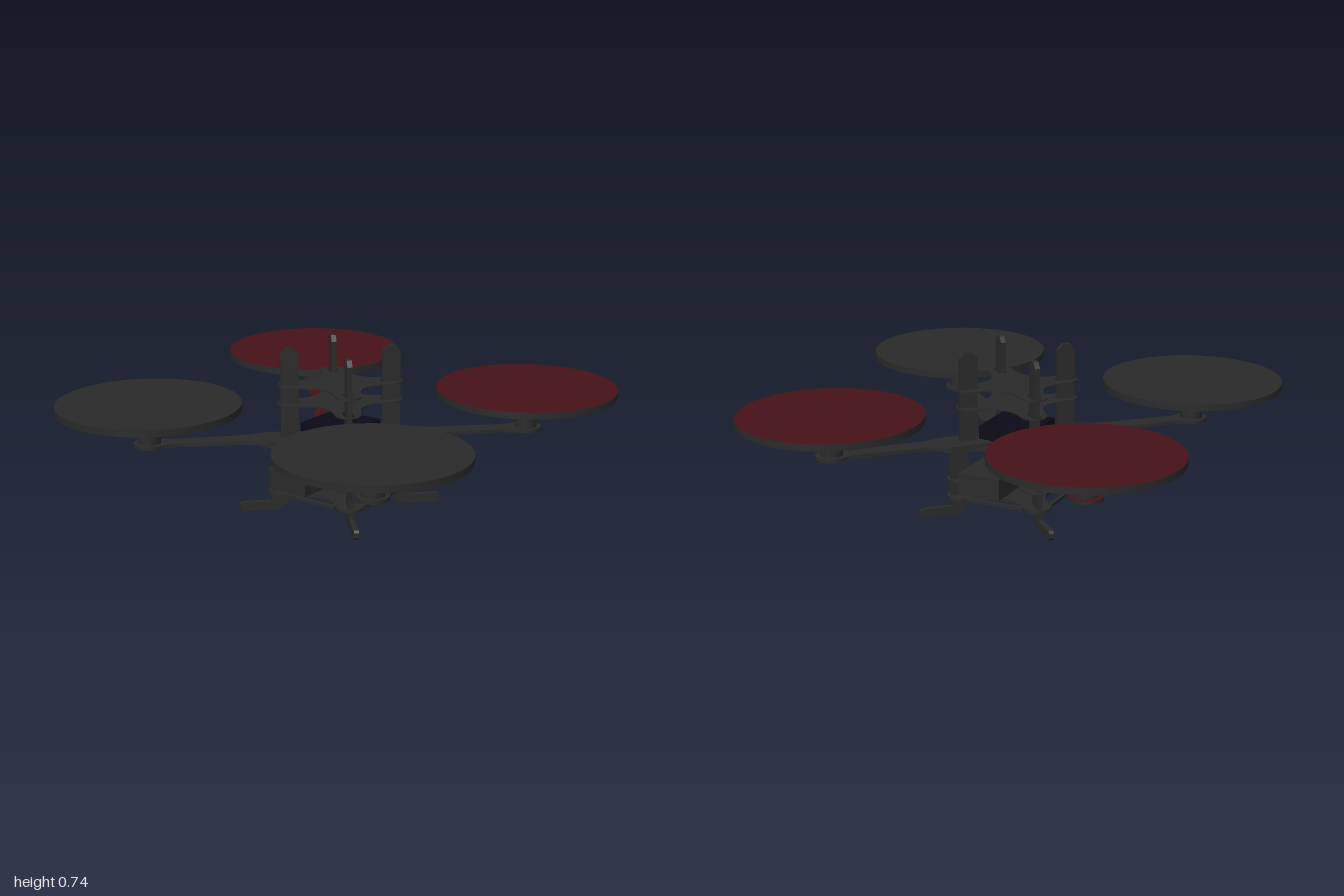
import * as THREE from 'three';

const dark = new THREE.MeshStandardMaterial({ color: 0x2a2a2a });
const red = new THREE.MeshStandardMaterial({ color: 0x47121a });
const black = new THREE.MeshStandardMaterial({ color: 0x0c0a16 });

function addMesh(parent, name, geometry, material, x = 0, y = 0, z = 0) {
  const mesh = new THREE.Mesh(geometry, material);
  mesh.name = name;
  mesh.position.set(x, y, z);
  parent.add(mesh);
  return mesh;
}

// Flat sheet lying in the xz plane, extruded upwards
function sheet(shape, thickness) {
  const g = new THREE.ExtrudeGeometry(shape, { depth: thickness, bevelEnabled: false, curveSegments: 10 });
  return g.rotateX(-Math.PI / 2);
}

// Four-lobed plate: lobes of radius w at distance c on the diagonals, concave sides between
function crossPlate(c, w, pull, slotted, thickness) {
  const s = new THREE.Shape();
  for (let k = 0; k < 4; k++) {
    const a = Math.PI / 4 + k * Math.PI / 2, b = a + Math.PI / 2;
    const ux = Math.cos(a), uy = Math.sin(a), vx = Math.cos(b), vy = Math.sin(b);
    s.absarc(c * ux, c * uy, w, a - Math.PI / 2, a + Math.PI / 2, false);
    const ex = c * ux + w * vx, ey = c * uy + w * vy;
    const nx = c * vx + w * ux, ny = c * vy + w * uy;
    s.bezierCurveTo(ex - pull * ux, ey - pull * uy, nx - pull * vx, ny - pull * vy, nx, ny);
    if (slotted) {
      const hole = new THREE.Path();
      hole.absarc(0.25 * ux, 0.25 * uy, 0.022, a - Math.PI / 2, a + Math.PI / 2, false);
      hole.absarc(0.2 * ux, 0.2 * uy, 0.022, a + Math.PI / 2, a + Math.PI * 1.5, false);
      hole.closePath();
      s.holes.push(hole);
    }
  }
  return sheet(s, thickness);
}

// Arm outline along +x, wide root, narrow neck and round motor mount
function armGeometry() {
  const s = new THREE.Shape();
  s.moveTo(0.14, -0.07);
  s.lineTo(0.3, -0.075);
  s.bezierCurveTo(0.37, -0.075, 0.38, -0.045, 0.46, -0.045);
  s.lineTo(0.72, -0.038);
  s.quadraticCurveTo(0.77, -0.04, 0.8, -0.057);
  s.absarc(0.841, 0, 0.07, -2.19, 2.19, false);
  s.quadraticCurveTo(0.77, 0.04, 0.72, 0.038);
  s.lineTo(0.46, 0.045);
  s.bezierCurveTo(0.38, 0.045, 0.37, 0.075, 0.3, 0.075);
  s.lineTo(0.14, 0.07);
  s.closePath();
  return sheet(s, 0.016);
}

// Upright plate: chamfered mast on top, leg below, foot pointing outwards
function legGeometry() {
  const pts = [[0.27, 0], [0.44, 0], [0.45, 0.01], [0.45, 0.032], [0.44, 0.042], [0.309, 0.042],
    [0.309, 0.31], [0.266, 0.31], [0.266, 0.71], [0.243, 0.735], [0.209, 0.735], [0.186, 0.71],
    [0.186, 0.31], [0.229, 0.31], [0.229, 0.045]];
  const s = new THREE.Shape(pts.map(([x, y]) => new THREE.Vector2(x, y)));
  const g = new THREE.ExtrudeGeometry(s, { depth: 0.022, bevelEnabled: false });
  return g.translate(0, 0, -0.011);
}

export function createModel() {
  const model = new THREE.Group();
  model.name = 'quadcopter';

  // Stacked body plates
  addMesh(model, 'topPlate', crossPlate(0.22, 0.058, 0.11, true, 0.006), dark, 0, 0.567);
  addMesh(model, 'upperPlate', crossPlate(0.22, 0.058, 0.11, true, 0.006), dark, 0, 0.485);
  addMesh(model, 'middlePlate', crossPlate(0.302, 0.06, 0.16, false, 0.016), dark, 0, 0.304);
  addMesh(model, 'batteryPlate', crossPlate(0.262, 0.06, 0.14, false, 0.006), dark, 0, 0.162);
  addMesh(model, 'bottomPlate', crossPlate(0.262, 0.06, 0.14, false, 0.015), dark, 0, 0.075);

  // Slim rails joining the lobes of the bottom plate
  for (let k = 0; k < 4; k++) {
    const rail = addMesh(model, 'bottomRail', new THREE.BoxGeometry(0.27, 0.015, 0.018), dark);
    const a = k * Math.PI / 2;
    rail.rotation.y = a;
    rail.position.set(0.222 * Math.sin(a), 0.0825, 0.222 * Math.cos(a));
  }

  // Electronics and battery
  addMesh(model, 'electronicsBox', new THREE.BoxGeometry(0.25, 0.065, 0.25), black, 0, 0.365, 0);
  addMesh(model, 'battery', new THREE.BoxGeometry(0.77, 0.095, 0.195), dark, 0, 0.214, -0.003);

  const arm = armGeometry();
  const leg = legGeometry();
  const motorProfile = [[0, 0.312], [0.028, 0.312], [0.028, 0.325], [0.042, 0.325], [0.05, 0.335], [0.05, 0.445],
    [0.045, 0.455], [0.022, 0.475], [0.018, 0.49], [0, 0.49]].map(([x, y]) => new THREE.Vector2(x, y));
  const motor = new THREE.LatheGeometry(motorProfile, 20).toNonIndexed();
  motor.computeVertexNormals();
  const disc = new THREE.CylinderGeometry(0.405, 0.405, 0.03, 40);

  // Four corners, each built along +x and turned to its diagonal
  for (let k = 0; k < 4; k++) {
    const corner = new THREE.Group();
    corner.name = 'corner' + (k + 1);
    corner.rotation.y = Math.PI / 4 + k * Math.PI / 2;
    addMesh(corner, 'arm', arm, k === 0 ? [red, dark] : dark, 0, 0.321);
    addMesh(corner, 'leg', leg, dark);
    addMesh(corner, 'motor', motor, dark, 0.841);
    const topColour = k === 0 || k === 3 ? red : dark;
    addMesh(corner, 'rotorDisc', disc, [dark, topColour, dark], 0.841, 0.5);
    // Slim camera box on the front right corner
    if (k === 2) addMesh(corner, 'cameraBox', new THREE.BoxGeometry(0.22, 0.1, 0.045), dark, 0.362, 0.222);
    model.add(corner);
  }
  return model;
}
